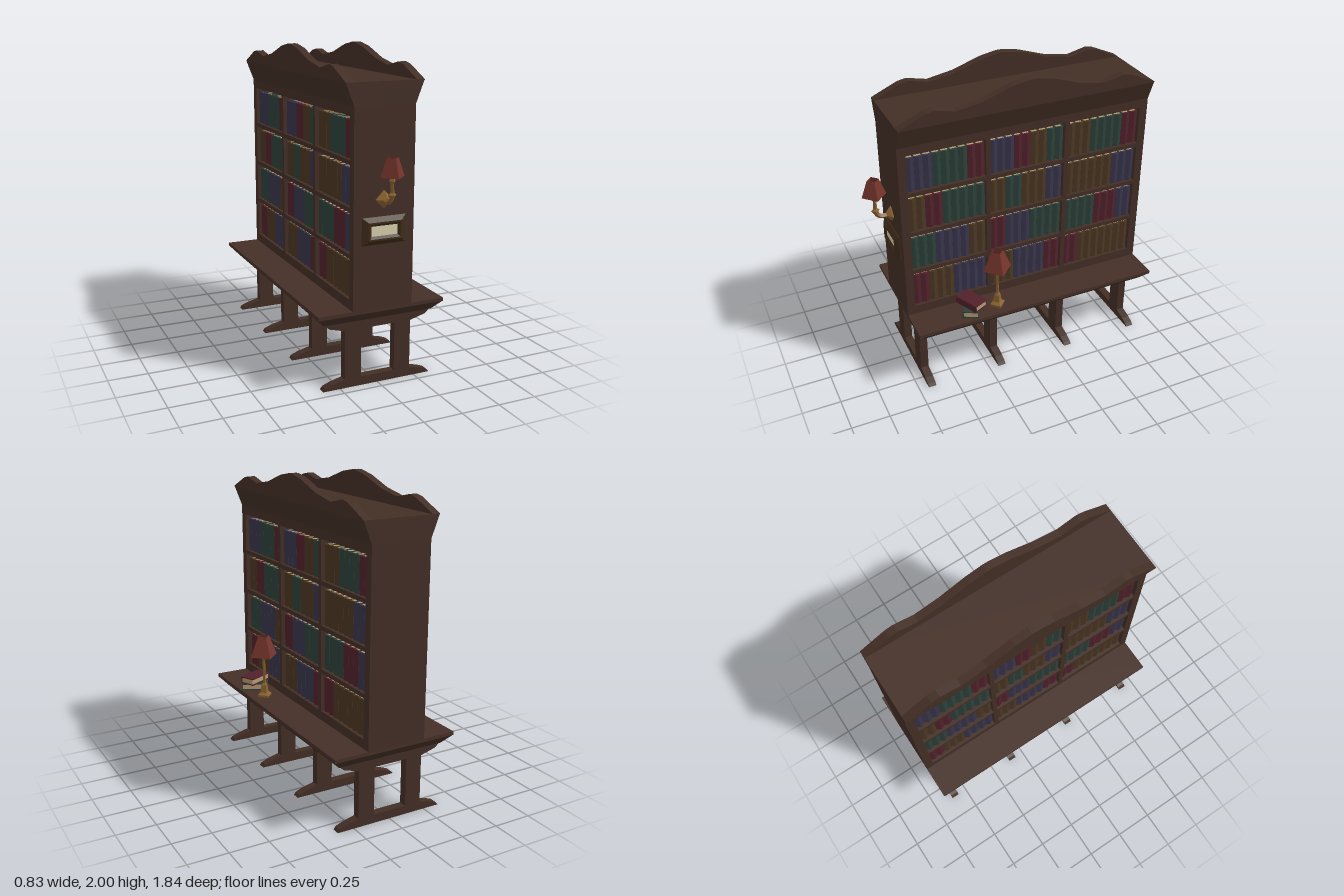
import * as THREE from 'three';
import { mergeGeometries } from 'three/addons/utils/BufferGeometryUtils.js';

const mat = (color, side = THREE.FrontSide) =>
  new THREE.MeshStandardMaterial({ color, flatShading: true, side });
const wood = mat(0x422e25), tableWood = mat(0x452f27), pageMat = mat(0xb09a70);
const brass = mat(0x8a6230), shadeMat = mat(0x74342b, THREE.DoubleSide);
const frameMat = mat(0x3f2b18), bulbMat = mat(0xd8cfae);
const bookMats = {
  b: ['blueBooks', mat(0x37344a)], g: ['greenBooks', mat(0x2c3f38)],
  r: ['redBooks', mat(0x51212b)], n: ['brownBooks', mat(0x4a3622)],
};

const CZ = -0.0875;   // centre of the furniture along z
const HALF = 0.8325;  // half its length

function add(parent, name, geo, material, x = 0, y = 0, z = 0) {
  const m = new THREE.Mesh(geo, material);
  m.name = name;
  m.position.set(x, y, z);
  parent.add(m);
  return m;
}

// Box whose bottom (w0, d0) and top (w1, d1) differ; stands on y = 0
function frustum(w0, d0, w1, d1, h) {
  const g = new THREE.BoxGeometry(1, h, 1).translate(0, h / 2, 0);
  const p = g.attributes.position;
  for (let i = 0; i < p.count; i++) {
    const top = p.getY(i) > h / 2;
    p.setX(i, p.getX(i) * (top ? w1 : w0));
    p.setZ(i, p.getZ(i) * (top ? d1 : d0));
  }
  return g;
}

const shapeOf = pts => new THREE.Shape(pts.map(p => new THREE.Vector2(...p)));
const extrude = (shape, depth) =>
  new THREE.ExtrudeGeometry(shape, { depth, bevelEnabled: false });
const mirrored = pts => [...pts, ...pts.map(([x, y]) => [-x, y]).reverse()];
const lathe4 = pts => new THREE.LatheGeometry(pts.map(p => new THREE.Vector2(...p)), 4);

// Trestle legs: foot, two uprights and a bracket under the top
function makeTrestle() {
  const g = new THREE.Group();
  g.name = 'trestle';
  const T = 0.052;
  const slab = pts => extrude(shapeOf(mirrored(pts)), T).translate(0, 0, -T / 2);
  add(g, 'foot', slab([[0.36, 0], [0.345, 0.018], [0.3, 0.035], [0.22, 0.055]]), wood);
  add(g, 'bracket', slab([[0.22, 0.365], [0.32, 0.392], [0.365, 0.43]]), wood);
  for (const s of [-1, 1])
    add(g, 'upright', new THREE.BoxGeometry(0.108, 0.32, T), wood, s * 0.166, 0.21, 0);
  return g;
}

// Bookcase with openings through the frame and a solid core behind the books
const BAY = 0.5, BAY_STEP = 0.53, ROWS = [0.56, 0.837, 1.115, 1.393], OPEN = 0.25;
function makeCase() {
  const g = new THREE.Group();
  g.name = 'bookcase';
  const face = shapeOf([[-HALF, 0.5], [HALF, 0.5], [HALF, 1.7], [-HALF, 1.7]]);
  for (const y of ROWS) for (const b of [-1, 0, 1]) {
    const u = b * BAY_STEP, h = BAY / 2;
    face.holes.push(new THREE.Path([[u - h, y], [u - h, y + OPEN], [u + h, y + OPEN], [u + h, y]]
      .map(p => new THREE.Vector2(...p))));
  }
  add(g, 'caseFrame', extrude(face, 0.39).translate(0, 0, -0.195).rotateY(Math.PI / 2), wood);
  add(g, 'backPanel', new THREE.BoxGeometry(0.16, 1.18, 2 * HALF - 0.05), wood, 0, 1.1, 0);
  add(g, 'cornice', frustum(0.39, 2 * HALF, 0.495, 2 * HALF, 0.135), wood, 0, 1.7, 0);
  // Wavy crest on both long sides
  const crest = shapeOf([[-HALF, 1.83], [HALF, 1.83],
    ...mirrored([[HALF, 1.836], [0.665, 1.91], [0.61, 1.92], [0.48, 1.89], [0.31, 1.92], [0.13, 1.98], [0.02, 2]])]);
  for (const x of [-0.2475, 0.1975])
    add(g, 'crest', extrude(crest, 0.05).rotateY(Math.PI / 2), wood, x, 0, 0);
  return g;
}

// Colours of the nine books of each bay, bottom row first, left to right
const LAYOUT = [
  ['rrnnnbbbb', 'nnnbbbbrr', 'rrnnnnnnn'],
  ['gggbbbbnn', 'rrbbbgggg', 'ggggrrrbb'],
  ['nnrrggggg', 'nnggnnnbb', 'nnnnnnbbb'],
  ['bbbggggrr', 'bbbrrnngg', 'nnnggggrr'],
];
function makeShelfBooks() {
  const g = new THREE.Group();
  g.name = 'shelfBooks';
  const w = BAY / 9, a = w / 2 - 0.0005, b = a - 0.005, H = 0.222;
  // Cover folded round the pages, with a ridged spine
  const cover = extrude(shapeOf([[0.085, -a], [0.168, -a], [0.18, 0], [0.168, a], [0.085, a],
    [0.085, b], [0.162, b], [0.162, -b], [0.085, -b]]), H).rotateX(-Math.PI / 2);
  const block = new THREE.BoxGeometry(0.08, H - 0.008, 2 * b).translate(0.122, H / 2, 0);
  const lists = { b: [], g: [], r: [], n: [] }, pages = [];
  LAYOUT.forEach((row, r) => row.forEach((bay, c) => [...bay].forEach((key, i) => {
    const z = (1 - c) * BAY_STEP + BAY / 2 - (i + 0.5) * w;
    lists[key].push(cover.clone().translate(0, ROWS[r], z));
    pages.push(block.clone().translate(0, ROWS[r], z));
  })));
  for (const key in lists) add(g, bookMats[key][0], mergeGeometries(lists[key]), bookMats[key][1]);
  add(g, 'bookPages', mergeGeometries(pages), pageMat);
  return g;
}

// Book lying flat, spine towards its own +z
function makeFlatBook(name, material, w, d, h) {
  const g = new THREE.Group();
  g.name = name;
  const t = 0.007;
  for (const y of [t / 2, h - t / 2])
    add(g, 'cover', new THREE.BoxGeometry(w, t, d), material, 0, y, 0);
  add(g, 'spine', new THREE.BoxGeometry(w, h - 2 * t, t), material, 0, h / 2, d / 2 - t / 2);
  add(g, 'pages', new THREE.BoxGeometry(w - 0.008, h - 2 * t, d - 0.012), pageMat, 0, h / 2, 0);
  return g;
}

function addShade(g, rTop, rBottom, h, y, z = 0) {
  add(g, 'lampShade', new THREE.CylinderGeometry(rTop, rBottom, h, 4, 1, true), shadeMat, 0, y + h / 2, z);
  add(g, 'bulb', new THREE.OctahedronGeometry(0.026).scale(1, 1.6, 1), bulbMat, 0, y + h * 0.5, z);
}

function makeTableLamp() {
  const g = new THREE.Group();
  g.name = 'tableLamp';
  add(g, 'lampStand', lathe4([[0, 0], [0.05, 0], [0.05, 0.015], [0.03, 0.03], [0.022, 0.08],
    [0.011, 0.095], [0.009, 0.25], [0.016, 0.265], [0.016, 0.31], [0, 0.32]]), brass);
  addShade(g, 0.04, 0.095, 0.135, 0.285);
  return g;
}

// Wall lamp; origin on the wall at the centre of its plate
function makeWallLamp() {
  const g = new THREE.Group();
  g.name = 'wallLamp';
  add(g, 'wallPlate', lathe4([[0.055, 0], [0.05, 0.008], [0.022, 0.03], [0, 0.034]]).rotateX(Math.PI / 2), brass);
  const path = new THREE.CatmullRomCurve3([[0, 0, 0], [0, -0.005, 0.05], [0, 0.008, 0.085], [0, 0.04, 0.099]]
    .map(p => new THREE.Vector3(...p)));
  add(g, 'arm', new THREE.TubeGeometry(path, 8, 0.016, 4), brass);
  add(g, 'socket', lathe4([[0, 0.02], [0.014, 0.025], [0.027, 0.045], [0.013, 0.058], [0.011, 0.11],
    [0.021, 0.125], [0.014, 0.14], [0.014, 0.17], [0, 0.175]]), brass, 0, 0, 0.099);
  addShade(g, 0.037, 0.077, 0.11, 0.15, 0.099);
  return g;
}

// Bevelled frame around a pale panel, facing +z
function makePlaque() {
  const g = new THREE.Group();
  g.name = 'wallPlaque';
  const rings = [[0.14, 0.083, 0], [0.14, 0.083, 0.006], [0.107, 0.055, 0.028], [0.098, 0.045, 0.028], [0.084, 0.029, 0.014]];
  const corners = [[1, 1], [-1, 1], [-1, -1], [1, -1]], pos = [], idx = [];
  rings.forEach(([w, h, z], r) => corners.forEach(([sx, sy], i) => {
    pos.push(sx * w, sy * h, z);
    if (r === 0) return;
    const j = (i + 1) % 4, p = (r - 1) * 4, q = r * 4;
    idx.push(p + i, p + j, q + j, p + i, q + j, q + i);
  }));
  const geo = new THREE.BufferGeometry();
  geo.setAttribute('position', new THREE.Float32BufferAttribute(pos, 3));
  geo.setIndex(idx);
  geo.computeVertexNormals();
  add(g, 'plaqueFrame', geo, frameMat);
  add(g, 'plaquePanel', new THREE.BoxGeometry(0.17, 0.06, 0.014), bulbMat, 0, 0, 0.008);
  return g;
}

export function createModel() {
  const model = new THREE.Group();
  model.name = 'libraryBookcase';
  const body = new THREE.Group();
  body.name = 'furniture';
  body.position.z = CZ;
  model.add(body);

  // Table
  add(body, 'tableTop', new THREE.BoxGeometry(0.83, 0.022, 2 * HALF), tableWood, 0, 0.489, 0);
  add(body, 'tableApron', frustum(0.72, 2 * HALF - 0.1, 0.826, 2 * HALF - 0.006, 0.058), wood, 0, 0.42, 0);
  for (let i = 0; i < 4; i++) {
    const t = makeTrestle();
    t.position.z = 0.75 - i * 0.5;
    body.add(t);
  }

  // Bookcase, with the same books on both long sides
  body.add(makeCase());
  for (const turn of [0, Math.PI]) {
    const books = makeShelfBooks();
    books.rotation.y = turn;
    body.add(books);
  }

  // Loose items
  const place = (o, x, y, z, turn = 0) => {
    o.position.set(x, y, z);
    o.rotation.y = turn;
    model.add(o);
  };
  place(makeFlatBook('lowerBook', bookMats.g[1], 0.173, 0.103, 0.047), 0.305, 0.5, 0.352, -0.46);
  place(makeFlatBook('upperBook', bookMats.r[1], 0.173, 0.103, 0.047), 0.305, 0.548, 0.353, 0.44);
  place(makeTableLamp(), 0.32, 0.5, 0.178);
  place(makeWallLamp(), -0.003, 1.16, CZ + HALF);
  place(makePlaque(), -0.003, 0.978, CZ + HALF);
  return model;
}
